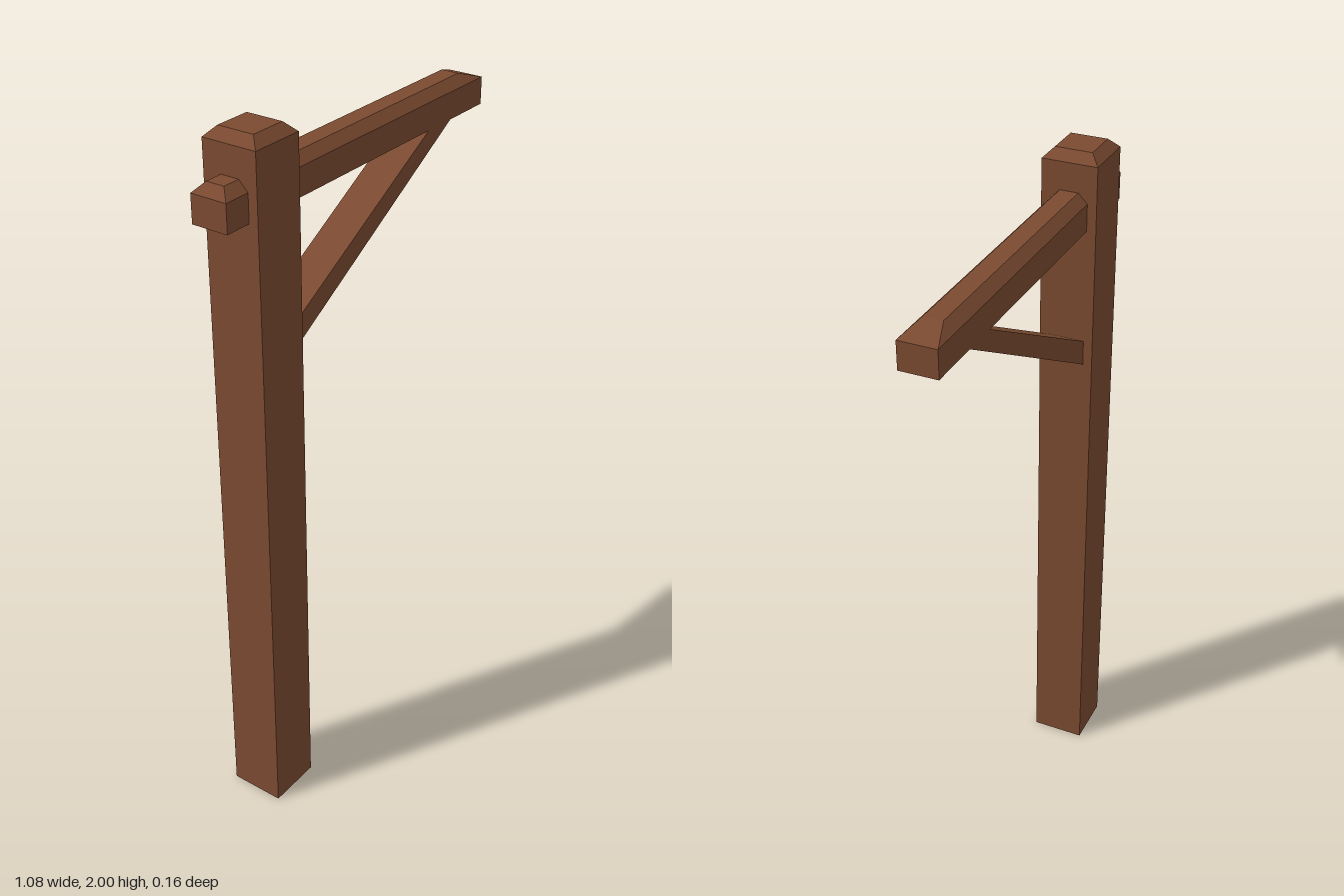
import * as THREE from 'three';

// Rectangular timber with a chamfered top, built from stacked rectangles [x0, x1, halfDepth, y]
function chamferedTimber(levels) {
  const rings = levels.map(([x0, x1, d, y]) => [[x0, y, d], [x1, y, d], [x1, y, -d], [x0, y, -d]]);
  const pos = [];
  const quad = (a, b, c, d) => pos.push(...a, ...b, ...c, ...a, ...c, ...d);
  for (let i = 0; i < rings.length - 1; i++) {
    const lo = rings[i], hi = rings[i + 1];
    for (let k = 0; k < 4; k++) {
      const n = (k + 1) % 4;
      quad(lo[k], lo[n], hi[n], hi[k]);
    }
  }
  quad(...rings[rings.length - 1]);
  quad(...rings[0].slice().reverse());
  const geo = new THREE.BufferGeometry();
  geo.setAttribute('position', new THREE.Float32BufferAttribute(pos, 3));
  geo.computeVertexNormals();
  return geo;
}

export function createModel() {
  const model = new THREE.Group();
  model.name = 'timberSignPost';
  const wood = new THREE.MeshStandardMaterial({ color: 0x7a4a30, flatShading: true });
  wood.name = 'brown wood';

  const add = (name, geo) => {
    const mesh = new THREE.Mesh(geo, wood);
    mesh.name = name;
    model.add(mesh);
  };

  // Upright post with an evenly chamfered cap
  add('post', chamferedTimber([
    [-0.461, -0.305, 0.078, 0],
    [-0.461, -0.305, 0.078, 1.974],
    [-0.435, -0.331, 0.052, 2],
  ]));

  // Cross beam, with a longer slope at its free end
  add('crossBeam', chamferedTimber([
    [-0.538, 0.538, 0.052, 1.795],
    [-0.538, 0.538, 0.052, 1.871],
    [-0.512, 0.458, 0.026, 1.897],
  ]));

  // Diagonal brace, cut flush to the post and the beam
  const depth = 0.104;
  const outline = new THREE.Shape([
    [-0.305, 1.4], [0.385, 1.795], [0.28, 1.795], [-0.305, 1.472],
  ].map(([x, y]) => new THREE.Vector2(x, y)));
  const brace = new THREE.ExtrudeGeometry(outline, { depth, bevelEnabled: false });
  brace.translate(0, 0, -depth / 2);
  add('diagonalBrace', brace);

  return model;
}
